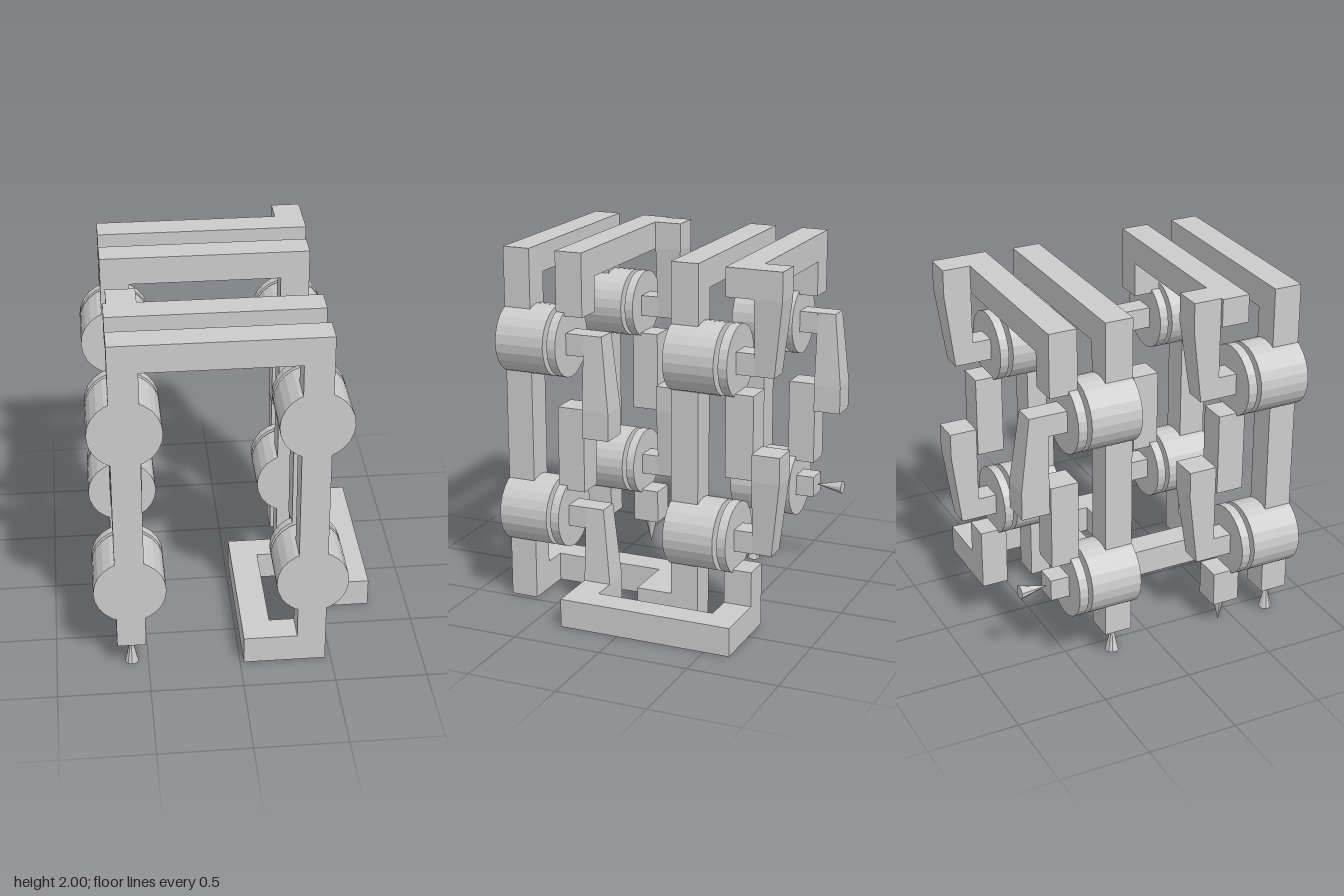
import * as THREE from 'three';

const mat = new THREE.MeshStandardMaterial({ color: 0xcccccc, flatShading: true });

const W = 0.155;              // bar thickness
const R = 0.195;              // drum radius
const LEFT = 0.39, RIGHT = -0.59; // column centres
const UPPER = 1.492, LOWER = 0.517; // contact heights

export function createModel() {
  const root = new THREE.Group();

  const add = (parent, name, geometry) => {
    const mesh = new THREE.Mesh(geometry, mat);
    mesh.name = name;
    parent.add(mesh);
    return mesh;
  };

  const group = (name) => {
    const g = new THREE.Group();
    g.name = name;
    root.add(g);
    return g;
  };

  // Box given by its limits on each axis
  const box = (parent, name, x0, x1, y0, y1, z0, z1) => {
    const m = add(parent, name, new THREE.BoxGeometry(x1 - x0, y1 - y0, z1 - z0));
    m.position.set((x0 + x1) / 2, (y0 + y1) / 2, (z0 + z1) / 2);
    return m;
  };

  // Vertical bar of a column
  const post = (parent, name, x, y0, y1, z0) =>
    box(parent, name, x - 0.078, x + 0.078, y0, y1, z0, z0 + W);

  // Disc or drum lying along z
  const drum = (parent, name, x, y, z0, z1) => {
    const geo = new THREE.CylinderGeometry(R, R, z1 - z0, 24);
    geo.rotateX(Math.PI / 2);
    add(parent, name, geo).position.set(x, y, (z0 + z1) / 2);
  };

  // Cone pin: its wide end faces "dir" along the y axis
  const pin = (parent, x, z, dir) => {
    const geo = new THREE.ConeGeometry(0.038, 0.16, 10);
    if (dir > 0) geo.rotateX(Math.PI);
    add(parent, 'pin', geo).position.set(x, 0.08, z);
  };

  // Block between a contact disc and its lever
  const contactBlock = (parent, x, y, zIn) =>
    box(parent, 'contactBlock', x - 0.06, x + 0.065, y - 0.06, y + 0.06, zIn, zIn + 0.105);

  // Lever: square root from yRoot to yBend, then tapering past the contact at yc
  const lever = (parent, x, yRoot, yBend, yc, zIn) => {
    const dir = Math.sign(yc - yBend);
    const yEnd = yc + dir * 0.06;
    const x0 = x - 0.06, x1 = x + 0.097;
    box(parent, 'leverRoot', x0, x1, Math.min(yRoot, yBend), Math.max(yRoot, yBend), zIn - W, zIn);
    const arm = box(parent, 'leverArm', x0, x1, Math.min(yBend, yEnd), Math.max(yBend, yEnd), zIn - W, zIn);
    const p = arm.geometry.attributes.position;
    for (let i = 0; i < p.count; i++) {
      if (p.getY(i) * dir < 0) continue;
      if (p.getX(i) > 0) p.setX(i, p.getX(i) - 0.034);
      if (p.getZ(i) < 0) p.setZ(i, p.getZ(i) + 0.05);
    }
    arm.geometry.computeVertexNormals();
    contactBlock(parent, x, yc, zIn);
  };

  // Arches that carry the four drums each
  [['frontArch', 0.645], ['rearArch', -0.335]].forEach(([name, z]) => {
    const g = group(name);
    box(g, 'topBar', RIGHT - 0.078, LEFT + 0.078, 1.845, 2, z, z + W);
    post(g, 'rightPost', RIGHT, 0.16, 1.845, z);
    post(g, 'leftPost', LEFT, 0, 1.845, z);
    for (const x of [RIGHT, LEFT])
      for (const y of [UPPER, LOWER]) drum(g, 'drum', x, y, z - 0.13, z + W);
    pin(g, RIGHT, z + W / 2, -1);
  });

  // Contact columns behind each arch; a lever hangs from above or rises from below
  const hangingColumn = (g, x, z) => {
    lever(g, x, 2, 1.845, UPPER, z);
    post(g, 'middlePost', x, 0.87, 1.33, z);
    lever(g, x, 1.02, 0.87, LOWER, z);
  };
  const risingColumn = (g, x, z) => {
    post(g, 'upperPost', x, 1.65, 1.845, z);
    post(g, 'middlePost', x, 0.67, 1.14, z);
    lever(g, x, 0.985, 1.14, UPPER, z);
  };
  const contactFrame = (name, z, barEnd) => {
    const g = group(name);
    box(g, 'topBar', RIGHT - 0.078, barEnd, 1.845, 2, z, z + W);
    for (const x of [RIGHT, LEFT])
      for (const y of [UPPER, LOWER]) drum(g, 'contactDisc', x, y, z + 0.105, z + W);
    return g;
  };

  // Front contacts
  const front = contactFrame('frontContacts', 0.335, 0.468);
  hangingColumn(front, RIGHT, 0.335);
  post(front, 'lowerPost', RIGHT, 0.16, 0.355, 0.335);
  pin(front, RIGHT, 0.4125, 1);
  risingColumn(front, LEFT, 0.335);
  lever(front, LEFT, 0, 0.16, LOWER, 0.335);

  // Rear contacts
  const rear = contactFrame('rearContacts', -0.645, 0.487);
  hangingColumn(rear, LEFT, -0.645);
  post(rear, 'lowerPost', LEFT, 0, 0.355, -0.645);
  risingColumn(rear, RIGHT, -0.645);
  contactBlock(rear, RIGHT, LOWER, -0.645);
  const sidePin = new THREE.ConeGeometry(0.038, 0.155, 10);
  sidePin.rotateX(Math.PI / 2);
  add(rear, 'sidePin', sidePin).position.set(RIGHT, LOWER, -0.7225);

  // Floor bar joining the two arches
  const inner = group('innerFloorBar');
  box(inner, 'rearRun', 0.312, 0.468, 0, 0.16, -0.18, -0.13);
  box(inner, 'crossRun', 0.02, 0.468, 0, 0.16, -0.13, 0.022);
  box(inner, 'longRun', 0.02, 0.175, 0, 0.16, 0.022, 0.645);
  box(inner, 'frontRun', 0.02, 0.312, 0, 0.16, 0.645, 0.8);

  // Floor bar joining the two contact frames
  const outer = group('outerFloorBar');
  box(outer, 'rearRun', 0.468, 0.78, 0, 0.16, -0.645, -0.49);
  box(outer, 'longRun', 0.627, 0.78, 0, 0.16, -0.49, 0.18);
  box(outer, 'frontRun', 0.487, 0.78, 0, 0.16, 0.18, 0.335);

  return root;
}
